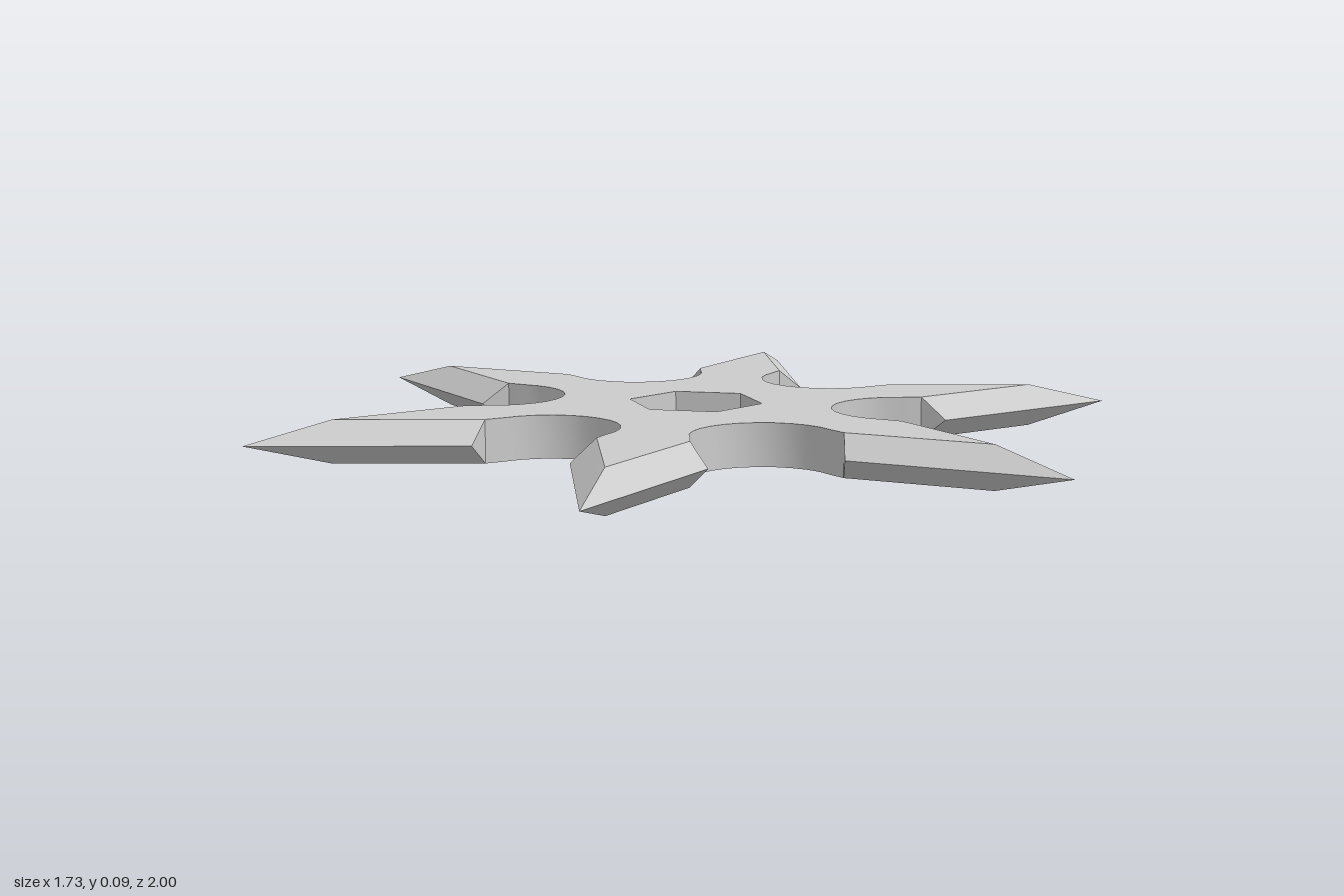
import * as THREE from 'three';
import { toCreasedNormals } from 'three/addons/utils/BufferGeometryUtils.js';

const THICK = 0.095;
const SPOKES = 6;
const NOTCH = { centre: 0.46, radius: 0.154, sweep: THREE.MathUtils.degToRad(98), segments: 12 };
// half of a blade as [radial, lateral]: flat face corner and sharp edge corner
const FLAT = { base: [0.5, 0.097], tip: [0.81, 0] };
const EDGE = { base: [0.54, 0.143], tip: [1, 0] };

// plan point at (radial, lateral) in a frame turned by angle
function plan(angle, radial, lateral) {
  const c = Math.cos(angle), s = Math.sin(angle);
  return new THREE.Vector2(radial * c - lateral * s, radial * s + lateral * c);
}

function createStarGeometry() {
  const pos = [];
  const at = (p, level) => [p.x, level * THICK, p.y]; // level 0 bottom, 0.5 edge, 1 top
  const tri = (a, b, c) => pos.push(...a, ...b, ...c);
  const quad = (a, b, c, d) => { tri(a, b, c); tri(a, c, d); };
  const wall = (p, q) => quad(at(p, 0), at(p, 1), at(q, 1), at(q, 0));

  const outline = [];
  for (let k = 0; k < SPOKES; k++) {
    const a = (k + 0.5) * Math.PI * 2 / SPOKES;
    const blade = ({ base, tip }) => [
      plan(a, base[0], -base[1]), plan(a, ...tip), plan(a, ...base),
    ];
    const flat = blade(FLAT), edge = blade(EDGE);

    // bevels above and below the cutting edge
    for (let i = 0; i < 2; i++) {
      const p = flat[i], q = flat[i + 1], ep = edge[i], eq = edge[i + 1];
      quad(at(ep, 0.5), at(p, 1), at(q, 1), at(eq, 0.5));
      quad(at(p, 0), at(ep, 0.5), at(eq, 0.5), at(q, 0));
    }
    // barb ends
    tri(at(flat[0], 0), at(flat[0], 1), at(edge[0], 0.5));
    tri(at(edge[2], 0.5), at(flat[2], 1), at(flat[2], 0));

    // round notch leading to the next blade
    const n = a + Math.PI / SPOKES;
    const run = [flat[2]];
    for (let i = 0; i <= NOTCH.segments; i++) {
      const t = -NOTCH.sweep - (i / NOTCH.segments) * 2 * (Math.PI - NOTCH.sweep);
      run.push(plan(n, NOTCH.centre + NOTCH.radius * Math.cos(t), NOTCH.radius * Math.sin(t)));
    }
    run.push(plan(a + Math.PI * 2 / SPOKES, FLAT.base[0], -FLAT.base[1]));
    for (let i = 0; i < run.length - 1; i++) wall(run[i], run[i + 1]);
    outline.push(flat[0], flat[1], ...run.slice(0, -1));
  }

  // hexagonal centre hole
  const hole = [];
  for (let i = 0; i < 6; i++) hole.push(plan(-i * Math.PI / 3, 0.15, 0));
  hole.forEach((p, i) => wall(p, hole[(i + 1) % 6]));

  // flat faces
  const all = [...outline, ...hole];
  for (const [i, j, k] of THREE.ShapeUtils.triangulateShape(outline, [hole])) {
    tri(at(all[i], 0), at(all[j], 0), at(all[k], 0));
    tri(at(all[k], 1), at(all[j], 1), at(all[i], 1));
  }

  const geometry = new THREE.BufferGeometry();
  geometry.setAttribute('position', new THREE.Float32BufferAttribute(pos, 3));
  return toCreasedNormals(geometry, 0.45);
}

export function createModel() {
  const group = new THREE.Group();
  group.name = 'throwingStar';
  const star = new THREE.Mesh(
    createStarGeometry(),
    new THREE.MeshStandardMaterial({ color: 0xcccccc })
  );
  star.name = 'starBlade';
  group.add(star);
  return group;
}
